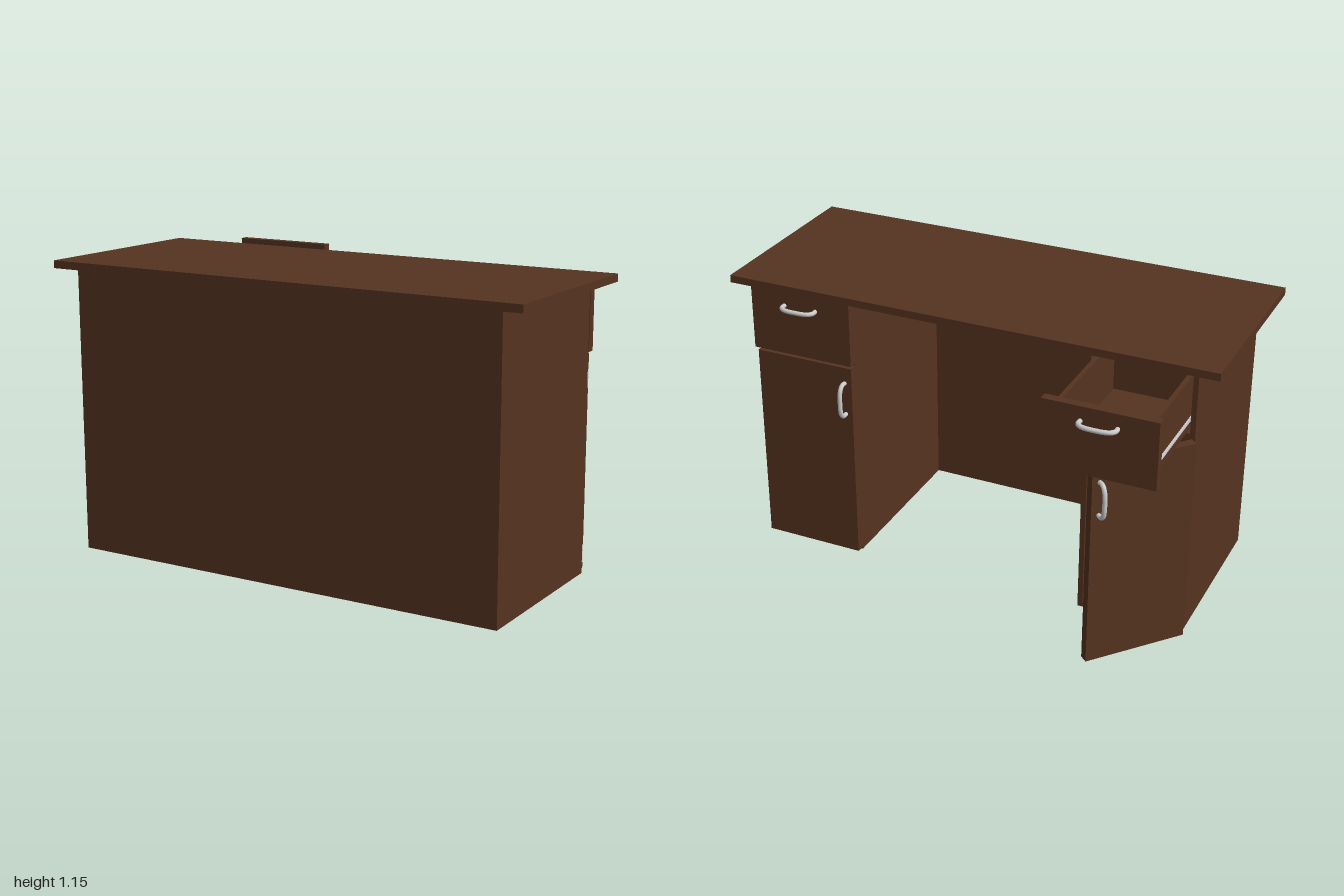
import * as THREE from 'three';

const wood = new THREE.MeshStandardMaterial({ color: 0x55331f });
const metal = new THREE.MeshStandardMaterial({ color: 0xcccccc });

// Box given by its limits on each axis
function box(parent, name, [x0, x1], [y0, y1], [z0, z1], mat = wood) {
  const m = new THREE.Mesh(
    new THREE.BoxGeometry(Math.abs(x1 - x0), y1 - y0, z1 - z0), mat);
  m.position.set((x0 + x1) / 2, (y0 + y1) / 2, (z0 + z1) / 2);
  m.name = name;
  parent.add(m);
  return m;
}

// Arched pull lying along x and standing out towards -z
function pull(name) {
  const half = [[-0.068, 0.005], [-0.068, -0.022], [-0.055, -0.036], [-0.03, -0.043]];
  const pts = [...half, [0, -0.044], ...half.map(([x, z]) => [-x, z]).reverse()]
    .map(([x, z]) => new THREE.Vector3(x, 0, z));
  const curve = new THREE.CatmullRomCurve3(pts, false, 'centripetal');
  const m = new THREE.Mesh(new THREE.TubeGeometry(curve, 36, 0.009, 10), metal);
  m.name = name;
  return m;
}

const BACK = -0.15, FACE = 0.035, T = 0.02;

// s = +1 or -1 picks the side of the desk
function pedestal(s) {
  const g = new THREE.Group();
  g.name = s > 0 ? 'leftPedestal' : 'rightPedestal';
  const zr = [BACK, 0.56];
  box(g, 'outerWall', [s * 0.91, s * 0.89], [0, 1.125], zr);
  box(g, 'innerWall', [s * 0.5, s * 0.48], [0, 1.125], zr);
  box(g, 'floor', [s * 0.89, s * 0.5], [0, T], zr);
  box(g, 'divider', [s * 0.89, s * 0.5], [0.855, 0.87], zr);
  for (const [a, b] of [[0.89, 0.882], [0.508, 0.5]])
    box(g, 'fixedRail', [s * a, s * b], [0.918, 0.932], [BACK, 0.4], metal);
  return g;
}

// Drawer in its closed position; slide along -z to open
function drawer(s) {
  const g = new THREE.Group();
  g.name = 'drawer';
  const z0 = BACK, z1 = 0.42, y = [0.877, 1.095];
  box(g, 'drawerFront', [s * 0.912, s * 0.48], [0.86, 1.124], [BACK - FACE, BACK]);
  box(g, 'drawerOuterSide', [s * 0.88, s * 0.862], y, [z0, z1]);
  box(g, 'drawerInnerSide', [s * 0.528, s * 0.51], y, [z0, z1]);
  box(g, 'drawerBack', [s * 0.862, s * 0.528], y, [z1 - T, z1]);
  box(g, 'drawerBottom', [s * 0.862, s * 0.528], [0.877, 0.892], [z0, z1 - T]);
  for (const [a, b] of [[0.889, 0.88], [0.51, 0.501]])
    box(g, 'drawerRail', [s * a, s * b], [0.921, 0.929], [z0, z1], metal);
  const p = pull('drawerPull');
  p.position.set(s * 0.695, 1.068, BACK - FACE);
  g.add(p);
  return g;
}

// Door hung on its outer edge; the group origin is the hinge line
function door(s) {
  const g = new THREE.Group();
  g.name = 'door';
  box(g, 'doorPanel', [0, -s * 0.418], [0.01, 0.85], [-FACE, 0]);
  const p = pull('doorPull');
  p.rotation.z = Math.PI / 2;
  p.position.set(-s * 0.388, 0.715, -FACE);
  g.add(p);
  for (const y of [0.075, 0.757]) {
    box(g, 'hingePlate', [s * 0.004, 0], [y - 0.033, y + 0.033], [-0.018, 0], metal);
    const k = new THREE.Mesh(new THREE.CylinderGeometry(0.005, 0.005, 0.07, 10), metal);
    k.name = 'hingePin';
    k.position.set(s * 0.003, y, -0.015);
    g.add(k);
  }
  g.position.set(s * 0.898, 0, BACK);
  return g;
}

export function createModel() {
  const desk = new THREE.Group();
  desk.name = 'desk';
  box(desk, 'tabletop', [-1, 1], [1.125, 1.155], [-0.192, 0.61]);
  box(desk, 'frontPanel', [-0.91, 0.91], [0, 1.125], [0.56, 0.575]);

  for (const s of [1, -1]) {
    const p = pedestal(s), dr = drawer(s), d = door(s);
    // One side stands open
    if (s < 0) {
      dr.position.z = -0.378;
      d.rotation.y = THREE.MathUtils.degToRad(49);
    }
    p.add(dr, d);
    desk.add(p);
  }
  return desk;
}
